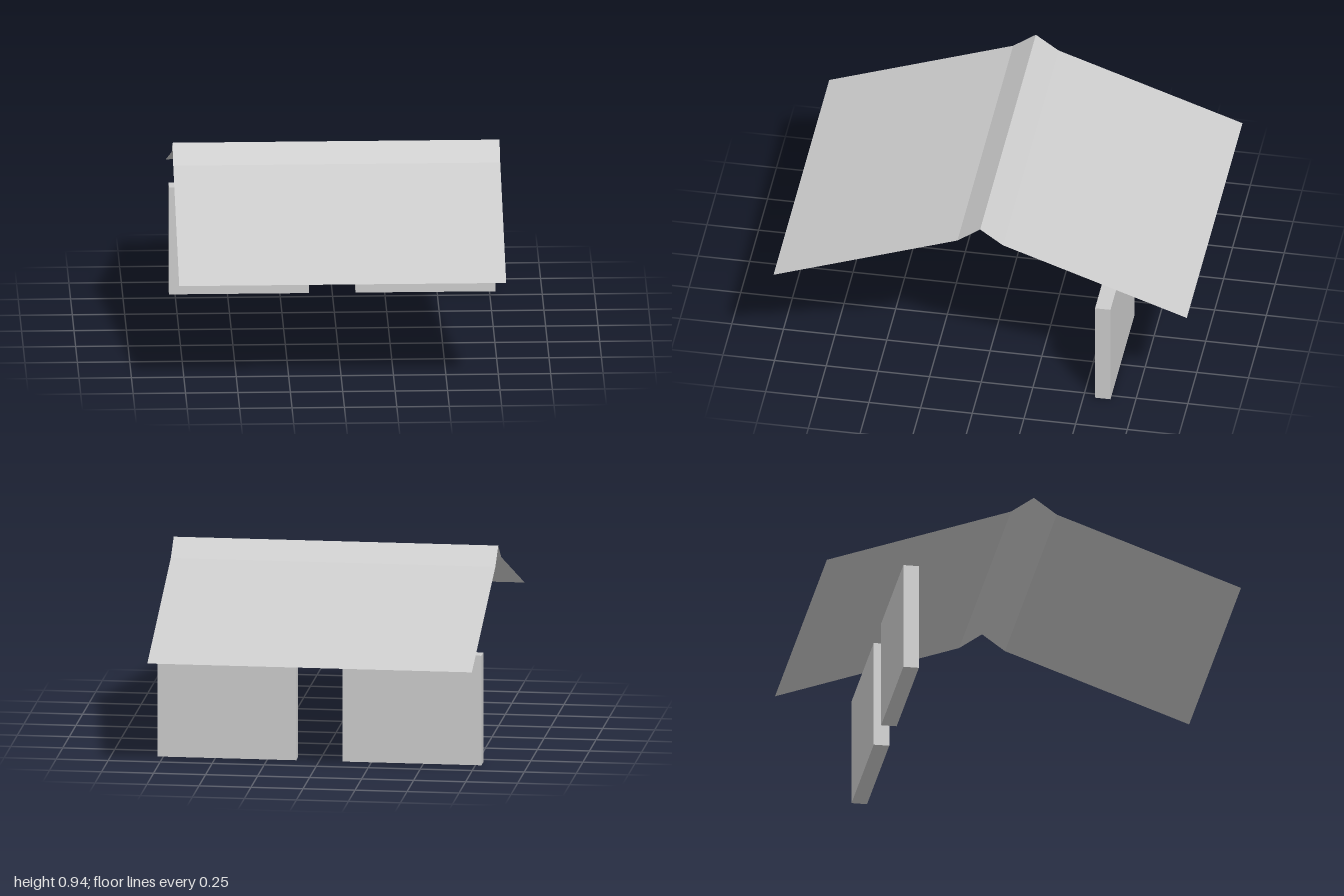
import * as THREE from 'three';

const HALF = 0.78; // half width along x

export function createModel() {
  const model = new THREE.Group();
  const grey = new THREE.MeshStandardMaterial({ color: 0xcccccc, side: THREE.DoubleSide });
  grey.name = 'lightGrey';

  // flat sheet spanning the full width between two (z, y) profile points
  function addSheet(name, [z0, y0], [z1, y1]) {
    const geo = new THREE.PlaneGeometry(2 * HALF, 1);
    const pos = geo.attributes.position;
    for (let i = 0; i < pos.count; i++) {
      const t = pos.getY(i) + 0.5;
      pos.setY(i, y0 + (y1 - y0) * t);
      pos.setZ(i, z0 + (z1 - z0) * t);
    }
    geo.computeVertexNormals();
    const mesh = new THREE.Mesh(geo, grey);
    mesh.name = name;
    return mesh;
  }

  // roof: a shallow slope and a steeper ridge strip on each side
  for (const side of ['front', 'back']) {
    const half = new THREE.Group();
    half.name = side + 'Roof';
    half.add(addSheet(side + 'Slope', [1, 0.535], [0.11, 0.855]));
    half.add(addSheet(side + 'RidgeStrip', [0.11, 0.855], [0, 0.935]));
    if (side === 'back') half.rotation.y = Math.PI;
    model.add(half);
  }

  // two wall panels with a doorway gap between them
  for (const s of [-1, 1]) {
    const wall = new THREE.Mesh(new THREE.BoxGeometry(0.668, 0.535, 0.075), grey);
    wall.name = s > 0 ? 'leftWall' : 'rightWall';
    wall.position.set(s * 0.445, 0.2675, -0.593);
    model.add(wall);
  }
  return model;
}
